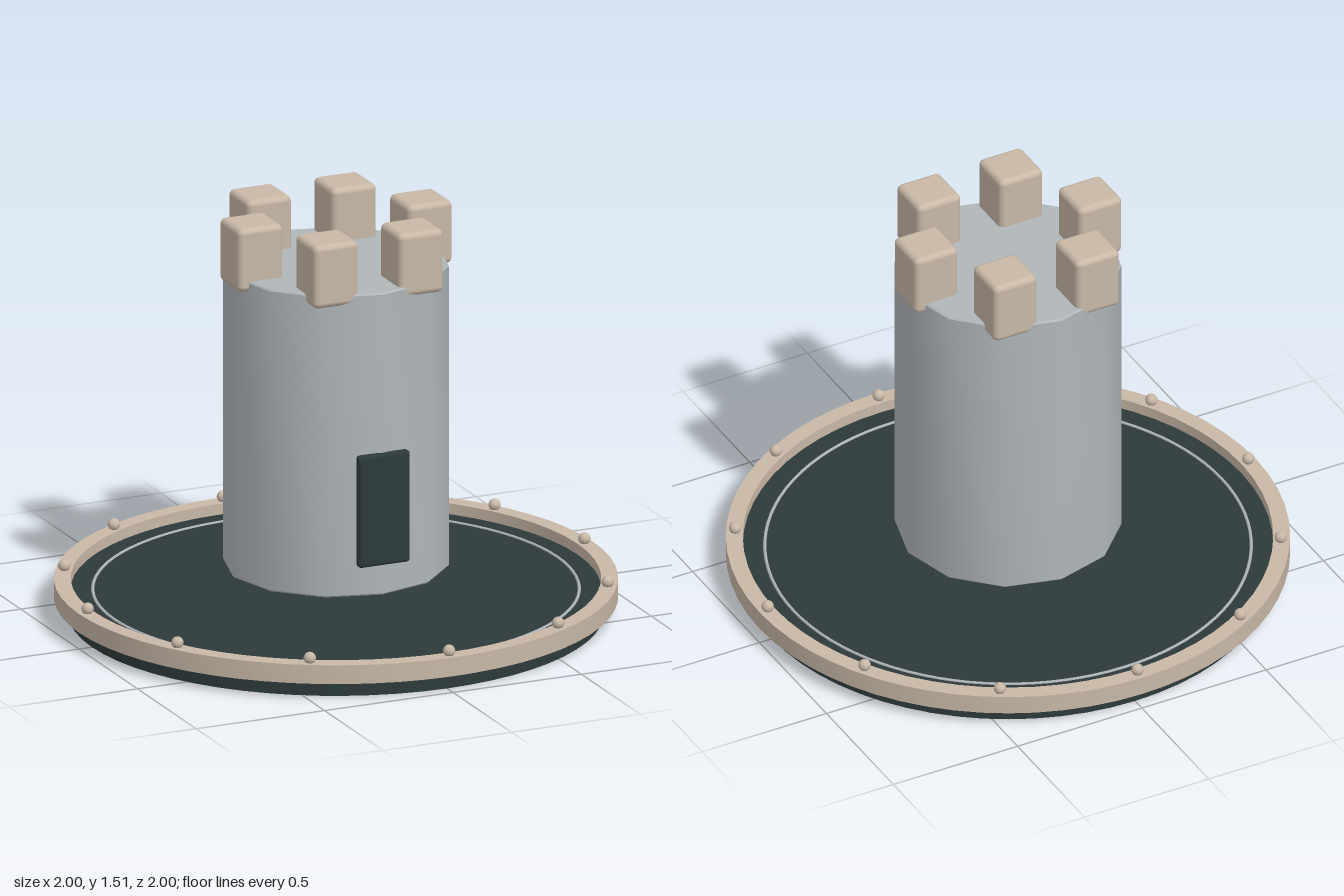
import * as THREE from 'three';
import { RoundedBoxGeometry } from 'three/addons/geometries/RoundedBoxGeometry.js';
import { toCreasedNormals } from 'three/addons/utils/BufferGeometryUtils.js';

const material = (name, color) => {
  const m = new THREE.MeshStandardMaterial({ color });
  m.name = name;
  return m;
};

export function createModel() {
  const model = new THREE.Group();
  const stone = material('grey stone', 0xb0b6b9);
  const sand = material('sand', 0xc8b8a6);
  const dark = material('dark green', 0x2d3a3a);

  const add = (name, geometry, mat, x = 0, y = 0, z = 0, parent = model) => {
    const mesh = new THREE.Mesh(geometry, mat);
    mesh.name = name;
    mesh.position.set(x, y, z);
    parent.add(mesh);
    return mesh;
  };
  const group = (name) => {
    const g = new THREE.Group();
    g.name = name;
    model.add(g);
    return g;
  };

  // Turned solid with sharp edges from a profile of [radius, height] pairs
  const turned = (profile, segments) => toCreasedNormals(
    new THREE.LatheGeometry(profile.map(([r, y]) => new THREE.Vector2(r, y)), segments), 0.6);

  // Round base plate with an inlaid line
  add('basePlate', new THREE.CylinderGeometry(0.95, 0.95, 0.09, 64), dark, 0, 0.045, 0);
  const line = add('inlaidLine', new THREE.TorusGeometry(0.862, 0.006, 6, 96), stone, 0, 0.09, 0);
  line.rotation.x = Math.PI / 2;

  // Raised rim around the plate
  add('rim', turned([[1, 0.06], [1, 0.13], [0.94, 0.13], [0.94, 0.06], [1, 0.06]], 64), sand);

  // Studs on the rim
  const studs = group('rimStuds');
  const studGeometry = new THREE.SphereGeometry(0.022, 16, 12);
  for (let i = 0; i < 12; i++) {
    const a = i * Math.PI / 6;
    add('stud', studGeometry, sand, Math.sin(a) * 0.967, 0.146, Math.cos(a) * 0.967, studs);
  }

  // Twelve-sided tower floating just above the plate
  add('tower', turned([[0, 0.185], [0.396, 0.185], [0.402, 0.191], [0.402, 1.304],
    [0.396, 1.31], [0, 1.31]], 12), stone);

  // Battlement blocks around the top
  const battlements = group('battlements');
  const blockGeometry = new RoundedBoxGeometry(0.175, 0.235, 0.175, 3, 0.022);
  for (let i = 0; i < 6; i++) {
    const a = i * Math.PI / 3;
    add('block', blockGeometry, sand, Math.cos(a) * 0.33, 1.388, Math.sin(a) * 0.33, battlements);
  }

  // Door on the front
  add('door', new RoundedBoxGeometry(0.2, 0.415, 0.035, 3, 0.012), dark, 0, 0.508, 0.4025);

  return model;
}
